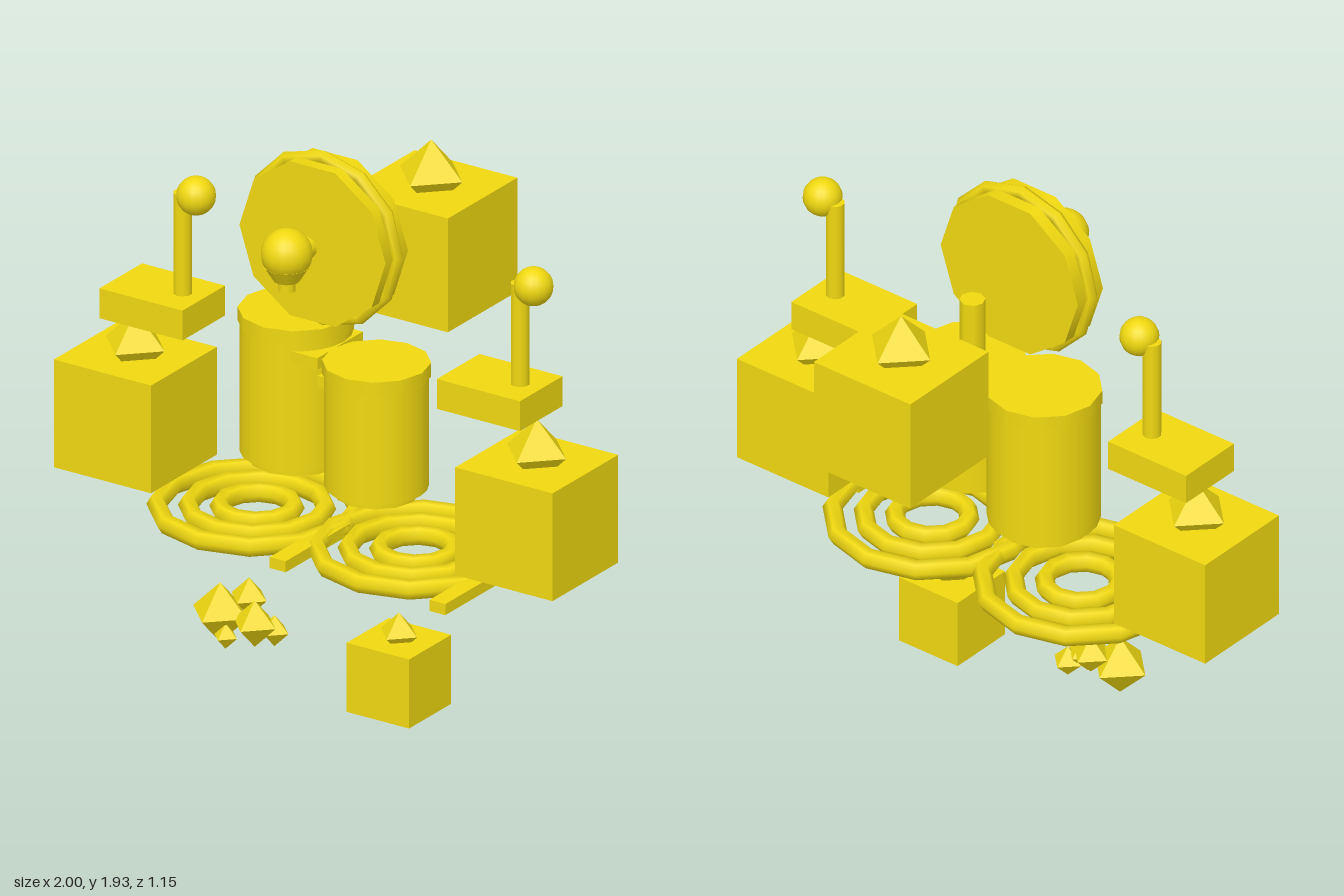
import * as THREE from 'three';

export function createModel() {
  const root = new THREE.Group();
  const mat = new THREE.MeshStandardMaterial({ color: 0xf0d810 });

  const add = (name, geometry, x, y, z) => {
    const mesh = new THREE.Mesh(geometry, mat);
    mesh.name = name;
    mesh.position.set(x, y, z);
    root.add(mesh);
    return mesh;
  };
  const box = (name, w, h, d, x, y, z) => add(name, new THREE.BoxGeometry(w, h, d), x, y, z);
  const gem = (name, r, x, y, z) => add(name, new THREE.OctahedronGeometry(r), x, y, z);
  const cylinder = (name, r, y0, y1, x, z, sides, rBottom = r) =>
    add(name, new THREE.CylinderGeometry(r, rBottom, y1 - y0, sides), x, (y0 + y1) / 2, z);

  // Cubes topped by half-sunk crystals: [size, crystal radius, x, bottom, z]
  [
    [0.39, 0.118, -0.805, 0.585, 0.195],
    [0.39, 0.118, 0.805, 0.585, 0.195],
    [0.412, 0.125, 0, 1.167, -0.37],
    [0.25, 0.073, 0.32, 0, 0.295],
  ].forEach(([s, r, x, y, z]) => {
    box('crystalBlock', s, s, s, x, y + s / 2, z);
    gem('blockCrystal', r, x, y + s + r * 0.3, z);
  });

  // Levers: base, post and offset ball
  for (const x of [-0.698, 0.655]) {
    box('leverBase', 0.333, 0.108, 0.253, x, 1.186, 0.193);
    cylinder('leverPost', 0.032, 1.24, 1.605, x + 0.083, 0.195, 10);
    add('leverBall', new THREE.SphereGeometry(0.067, 16, 12), x + 0.137, 1.605, 0.195);
  }

  // Upright round plate with a rim
  const plate = new THREE.CylinderGeometry(0.293, 0.293, 0.133, 10, 1, false, Math.PI / 2);
  plate.rotateX(Math.PI / 2);
  add('roundPlate', plate, 0, 1.615, 0.268);
  add('plateRim', new THREE.TorusGeometry(0.292, 0.024, 6, 12), 0, 1.615, 0.27);

  // Bulb in front of the plate
  add('bulb', new THREE.SphereGeometry(0.087, 16, 12), 0, 1.635, 0.487);
  cylinder('bulbCollar', 0.078, 1.54, 1.592, 0, 0.487, 12, 0.045);
  cylinder('bulbSocket', 0.03, 1.503, 1.55, 0, 0.487, 10);
  cylinder('bulbMount', 0.038, -0.035, 0.035, 0, 0, 10).rotation.x = Math.PI / 2;
  root.children[root.children.length - 1].position.set(0, 1.615, 0.4);

  // Small pillar behind the plate
  cylinder('rearPillar', 0.044, 1.29, 1.618, 0, 0.007, 8);

  // Two canisters with lids and recessed bases: [x, z, radius, top, base radius]
  [
    [-0.185, 0.155, 0.19, 1.275, 0.162],
    [0.2, 0.25, 0.175, 1.21, 0.145],
  ].forEach(([x, z, r, top, base]) => {
    cylinder('canisterBody', r, 0.763, top - 0.04, x, z, 20);
    cylinder('canisterLid', r + 0.007, top - 0.05, top, x, z, 12);
    cylinder('canisterBase', base, 0.735, 0.78, x, z, 12);
  });
  box('largeCanisterTab', 0.125, 0.042, 0.27, -0.053, 1.178, 0.185);
  box('smallCanisterTab', 0.034, 0.042, 0.11, 0.034, 1.12, 0.275);

  // Concentric coils, each with a bar running forward
  for (const side of [-1, 1]) {
    for (const r of [0.335, 0.23, 0.125]) {
      const ring = new THREE.TorusGeometry(r, 0.034, 6, 12);
      ring.rotateX(Math.PI / 2);
      add('coilRing', ring, side * 0.32, 0.535, 0.19);
    }
    box('coilBar', 0.064, 0.04, 0.385, side * 0.32 + 0.328, 0.535, 0.36);
  }

  // Loose crystal cluster: [radius, x, y, z]
  [
    [0.108, -0.39, 0.178, 0.305],
    [0.07, -0.32, 0.226, 0.237],
    [0.084, -0.245, 0.175, 0.315],
    [0.046, -0.345, 0.115, 0.34],
    [0.056, -0.203, 0.14, 0.26],
  ].forEach((c) => gem('clusterCrystal', ...c));

  return root;
}
